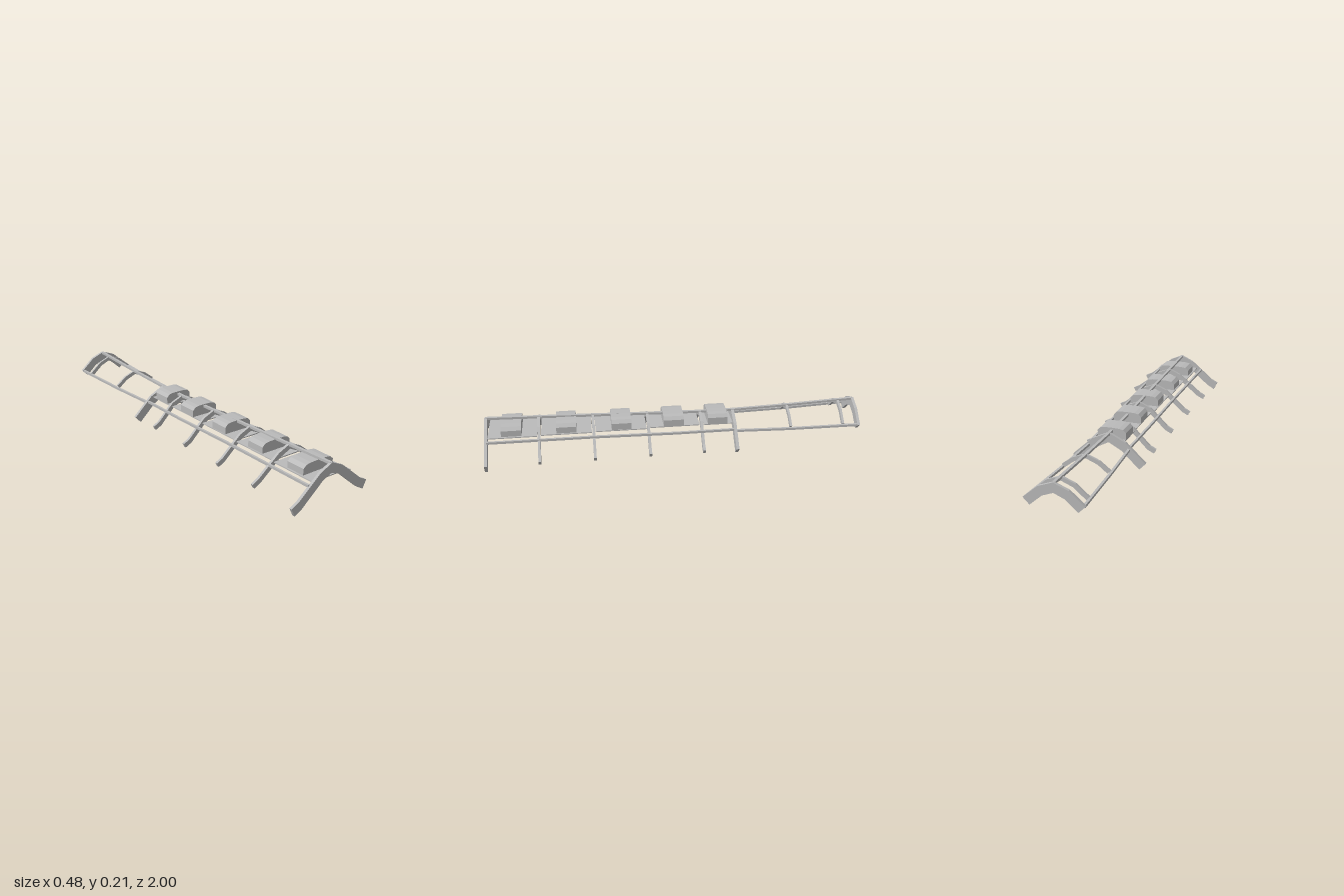
import * as THREE from 'three';

export function createModel() {
  const model = new THREE.Group();
  const grey = new THREE.MeshStandardMaterial({ color: 0xbababa });
  grey.name = 'grey';

  function add(geometry, name) {
    const mesh = new THREE.Mesh(geometry, grey);
    mesh.name = name;
    model.add(mesh);
    return mesh;
  }

  // Extrudes a profile that is symmetric in x; half profiles run from the centre outwards
  function mirrored(name, outer, inner, z, depth) {
    const flip = (pts) => pts.map(([x, y]) => [-x, y]);
    const ring = [
      ...flip(outer).reverse(), ...outer.slice(1),
      ...inner.slice().reverse(), ...flip(inner).slice(1),
    ];
    const shape = new THREE.Shape(ring.map(([x, y]) => new THREE.Vector2(x, y)));
    const geo = new THREE.ExtrudeGeometry(shape, { depth, bevelEnabled: false });
    geo.translate(0, 0, z - depth / 2);
    return add(geo, name);
  }

  // Square beams following a list of points
  function beam(name, points, width, height) {
    for (let i = 0; i + 1 < points.length; i++) {
      const a = new THREE.Vector3(...points[i]);
      const b = new THREE.Vector3(...points[i + 1]);
      const mesh = add(new THREE.BoxGeometry(width, height, a.distanceTo(b)), name);
      mesh.position.copy(a).add(b).multiplyScalar(0.5);
      mesh.lookAt(b);
    }
  }

  // Heavy end arches and the arch between the two sections
  mirrored('frontArch',
    [[0, 0.207], [0.07, 0.175], [0.2, 0.068], [0.24, 0.048]],
    [[0, 0.155], [0.05, 0.135], [0.178, 0.028], [0.219, 0.005]], 0.988, 0.015);
  mirrored('middleArch',
    [[0, 0.18], [0.09, 0.137], [0.198, 0.036]],
    [[0, 0.128], [0.07, 0.09], [0.165, 0.001]], -0.324, 0.016);
  mirrored('rearArch',
    [[0, 0.207], [0.075, 0.178], [0.15, 0.113]],
    [[0, 0.157], [0.055, 0.135], [0.117, 0.08]], -0.992, 0.015);

  // Slim ribs with turned-out feet: z, half width, top, foot
  for (const [z, w, t, b] of [
    [0.715, 0.23, 0.2, 0.03], [0.43, 0.215, 0.193, 0.025],
    [0.14, 0.203, 0.185, 0.02], [-0.146, 0.195, 0.178, 0.018],
  ]) {
    mirrored('rib',
      [[0, t], [0.07, t - 0.03], [w - 0.035, b + 0.04], [w, b + 0.022]],
      [[0, t - 0.027], [0.06, t - 0.055], [w - 0.047, b + 0.017], [w - 0.012, b]], z, 0.014);
  }

  // Short ribs of the open rear section
  for (const [z, w, t] of [[-0.625, 0.125, 0.187], [-0.91, 0.135, 0.2]]) {
    mirrored('rearRib',
      [[0, t], [0.07, t - 0.027], [w, 0.118]],
      [[0, t - 0.022], [0.06, t - 0.046], [w - 0.015, 0.102]], z, 0.012);
  }

  // Spine and side rails
  beam('spine', [
    [0, 0.201, 0.99], [0, 0.194, 0.715], [0, 0.187, 0.43], [0, 0.179, 0.14],
    [0, 0.173, -0.146], [0, 0.173, -0.324], [0, 0.183, -0.625], [0, 0.201, -0.99],
  ], 0.015, 0.012);
  for (const s of [-1, 1]) {
    beam('sideRail', [
      [s * 0.13, 0.124, 0.985], [s * 0.119, 0.118, 0.43], [s * 0.113, 0.109, 0.0], [s * 0.109, 0.108, -0.324],
    ], 0.012, 0.012);
    beam('rearRail', [
      [s * 0.109, 0.101, -0.324], [s * 0.123, 0.101, -0.625], [s * 0.14, 0.11, -0.99],
    ], 0.013, 0.012);
  }

  // Floor panels with an arched box on each: panel ends, box ends, half widths, floor height
  for (const [z0, z1, b0, b1, w, bw, y] of [
    [0.725, 0.98, 0.805, 0.91, 0.104, 0.094, 0.133],
    [0.44, 0.705, 0.52, 0.625, 0.095, 0.088, 0.132],
    [0.15, 0.42, 0.23, 0.335, 0.085, 0.082, 0.13],
    [-0.135, 0.13, -0.05, 0.058, 0.075, 0.077, 0.13],
    [-0.314, -0.157, -0.285, -0.18, 0.077, 0.077, 0.13],
  ]) {
    const floor = add(new THREE.BoxGeometry(w * 2, 0.005, z1 - z0), 'floorPanel');
    floor.position.set(0, y, (z0 + z1) / 2);
    mirrored('archedBox',
      [[0, 0.189], [bw * 0.5, 0.188], [bw * 0.8, 0.184], [bw, 0.168]],
      [[0, y], [bw, y]], (b0 + b1) / 2, b1 - b0);
  }

  return model;
}
